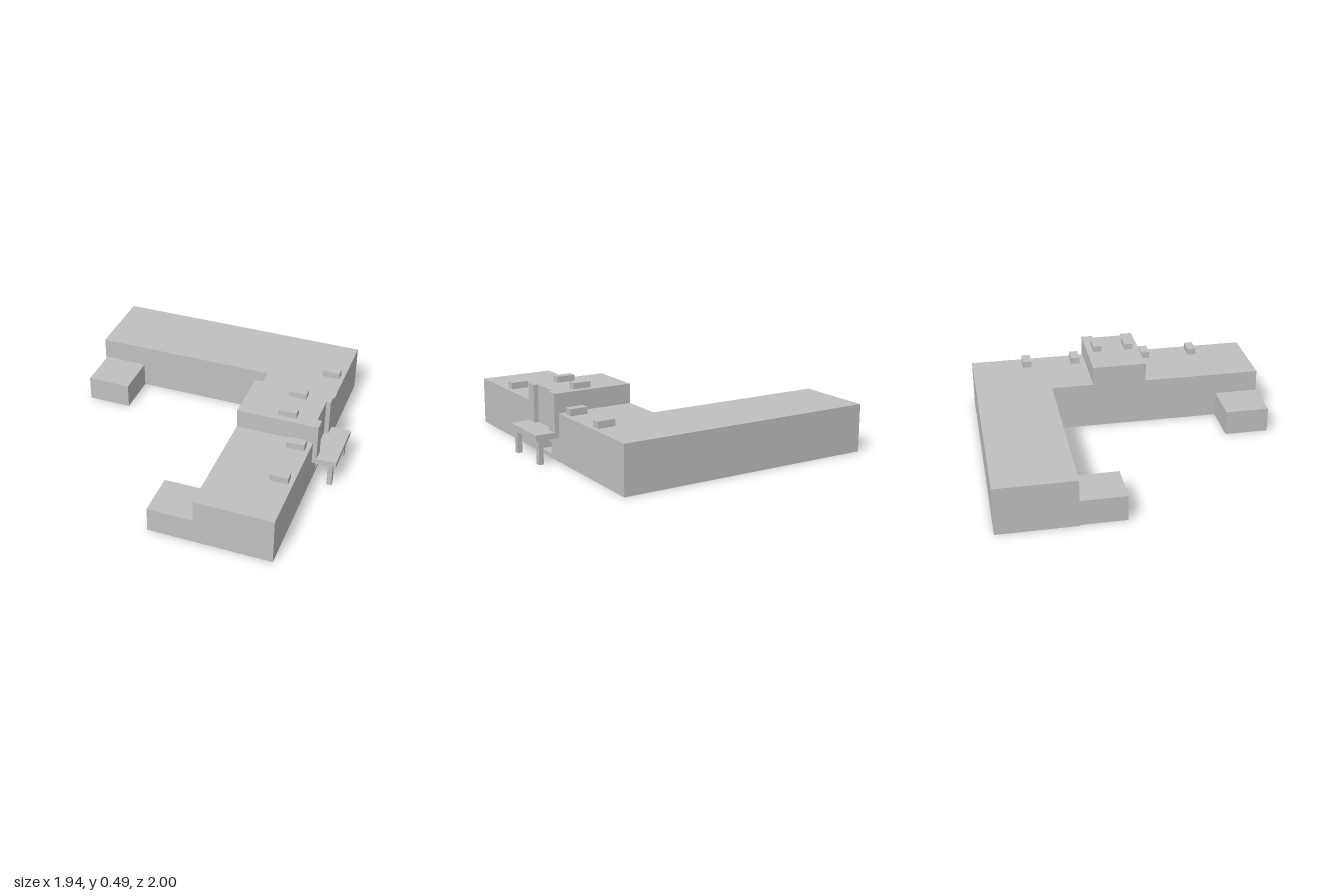
import * as THREE from 'three';

export function createModel() {
  const group = new THREE.Group();
  const grey = new THREE.MeshStandardMaterial({ color: 0xc0c0c0 });
  grey.name = 'light grey';

  // Box given by its extents along each axis
  function block(name, [x0, x1], [y0, y1], [z0, z1]) {
    const geometry = new THREE.BoxGeometry(x1 - x0, y1 - y0, z1 - z0);
    const mesh = new THREE.Mesh(geometry, grey);
    mesh.position.set((x0 + x1) / 2, (y0 + y1) / 2, (z0 + z1) / 2);
    mesh.name = name;
    group.add(mesh);
  }

  const roof = 0.32, towerRoof = 0.45, wall = 0.805, inner = 0.285;
  const half = 0.187;

  // Wings and low annexes
  block('backWing', [-0.975, inner], [0, roof], [-1, -0.477]);
  block('sideWingBack', [inner, wall], [0, roof], [-1, -half]);
  block('sideWingFront', [inner, wall], [0, roof], [half, 1]);
  block('backAnnex', [-0.965, -0.665], [0, 0.172], [-0.477, -0.175]);
  block('frontAnnex', [-0.02, inner], [0, 0.172], [0.7, 1]);

  // Entrance tower: outline across z, with a doorway notch in its outer part
  const door = 0.072, doorTop = 0.105, doorDepth = 0.12;
  block('towerCore', [inner, wall - doorDepth], [0, towerRoof], [-half, half]);
  const outline = new THREE.Shape([
    [-half, 0], [-door, 0], [-door, doorTop], [door, doorTop],
    [door, 0], [half, 0], [half, towerRoof], [-half, towerRoof],
  ].map(([z, y]) => new THREE.Vector2(z, y)));
  const front = new THREE.Mesh(
    new THREE.ExtrudeGeometry(outline, { depth: doorDepth, bevelEnabled: false }), grey);
  front.rotation.y = Math.PI / 2;
  front.position.x = wall - doorDepth;
  front.name = 'towerEntranceWall';
  group.add(front);
  block('doorStep', [wall - doorDepth, wall], [0, 0.028], [-door, door]);

  // Canopy
  block('canopy', [wall, 0.968], [0.16, 0.198], [-half, half]);

  for (const s of [-1, 1]) {
    const across = (a, b) => [Math.min(s * a, s * b), Math.max(s * a, s * b)];
    // Canopy posts and the pilasters above the canopy
    block('canopyPost', [0.912, 0.945], [0, 0.16], across(0.14, 0.177));
    block('pilaster', [wall, 0.835], [0.198, towerRoof], across(0.106, half));
    // Rooftop units
    block('towerRoofUnit', [0.55, 0.673], [towerRoof, 0.49], across(0.083, 0.142));
    block('roofUnitInner', [0.655, 0.775], [roof, 0.365], across(0.23, 0.29));
    block('roofUnitOuter', [0.655, 0.775], [roof, 0.365], across(0.58, 0.64));
  }
  return group;
}
